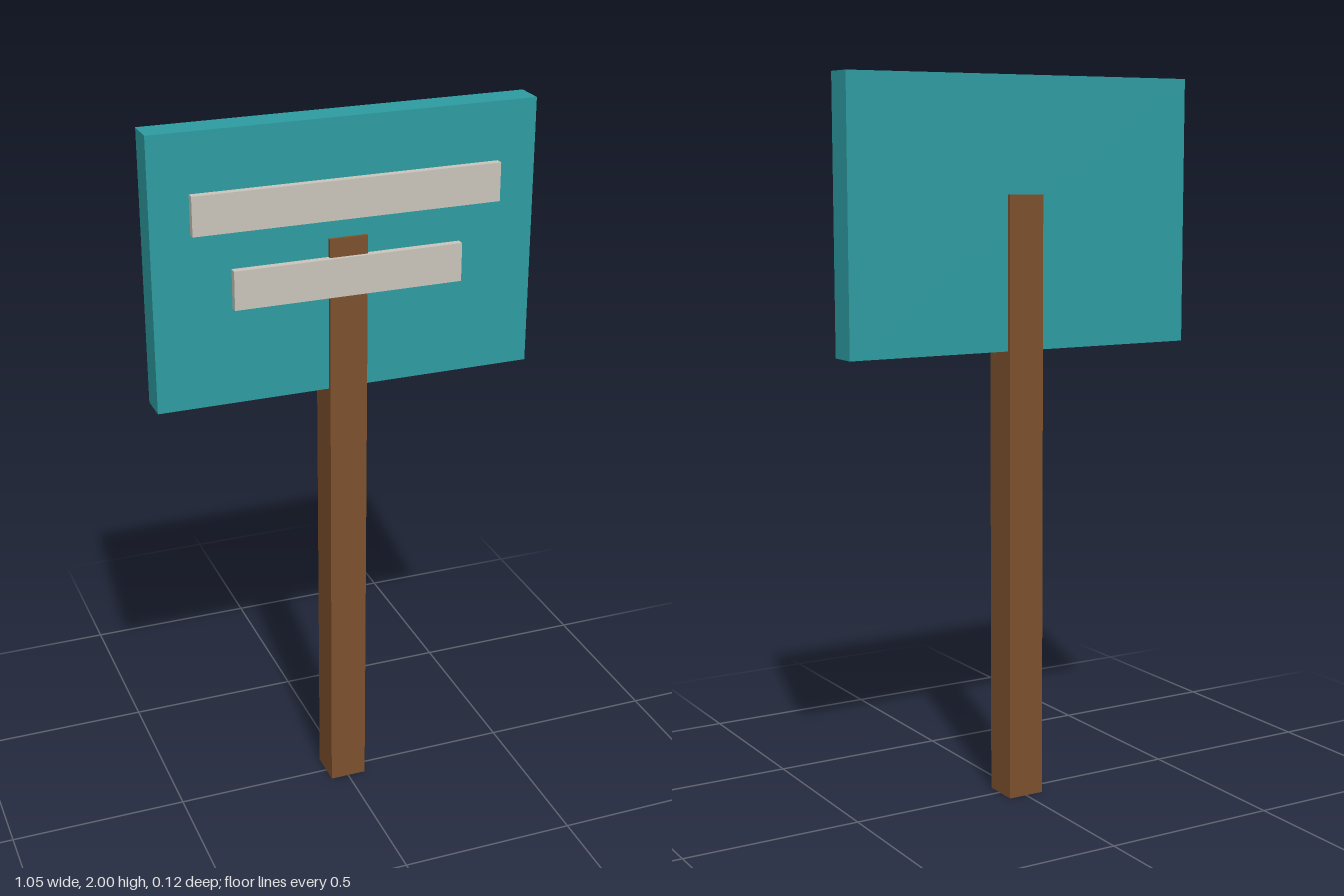
import * as THREE from 'three';

const material = (name, color) => {
  const m = new THREE.MeshStandardMaterial({ color });
  m.name = name;
  return m;
};

export function createModel() {
  const group = new THREE.Group();
  group.name = 'signpost';
  const wood = material('brown wood', 0x7d502d);
  const teal = material('teal paint', 0x2d9ca1);
  const pale = material('pale grey', 0xc9c5bb);

  // Box given by its width and its extents in y and z, centred on x = 0
  const slab = (name, mat, width, y0, y1, z0, z1) => {
    const mesh = new THREE.Mesh(new THREE.BoxGeometry(width, y1 - y0, z1 - z0), mat);
    mesh.position.set(0, (y0 + y1) / 2, (z0 + z1) / 2);
    mesh.name = name;
    group.add(mesh);
  };

  // Square post, slightly deeper than the board so it shows on both faces
  slab('post', wood, 0.105, 0, 1.684, -0.058, 0.0474);
  slab('board', teal, 1.053, 1.263, 2, -0.0474, 0.0368);

  // Raised strips on the front of the board
  slab('upperStrip', pale, 0.842, 1.737, 1.842, 0.0368, 0.058);
  slab('lowerStrip', pale, 0.632, 1.528, 1.634, 0.0368, 0.058);

  return group;
}
